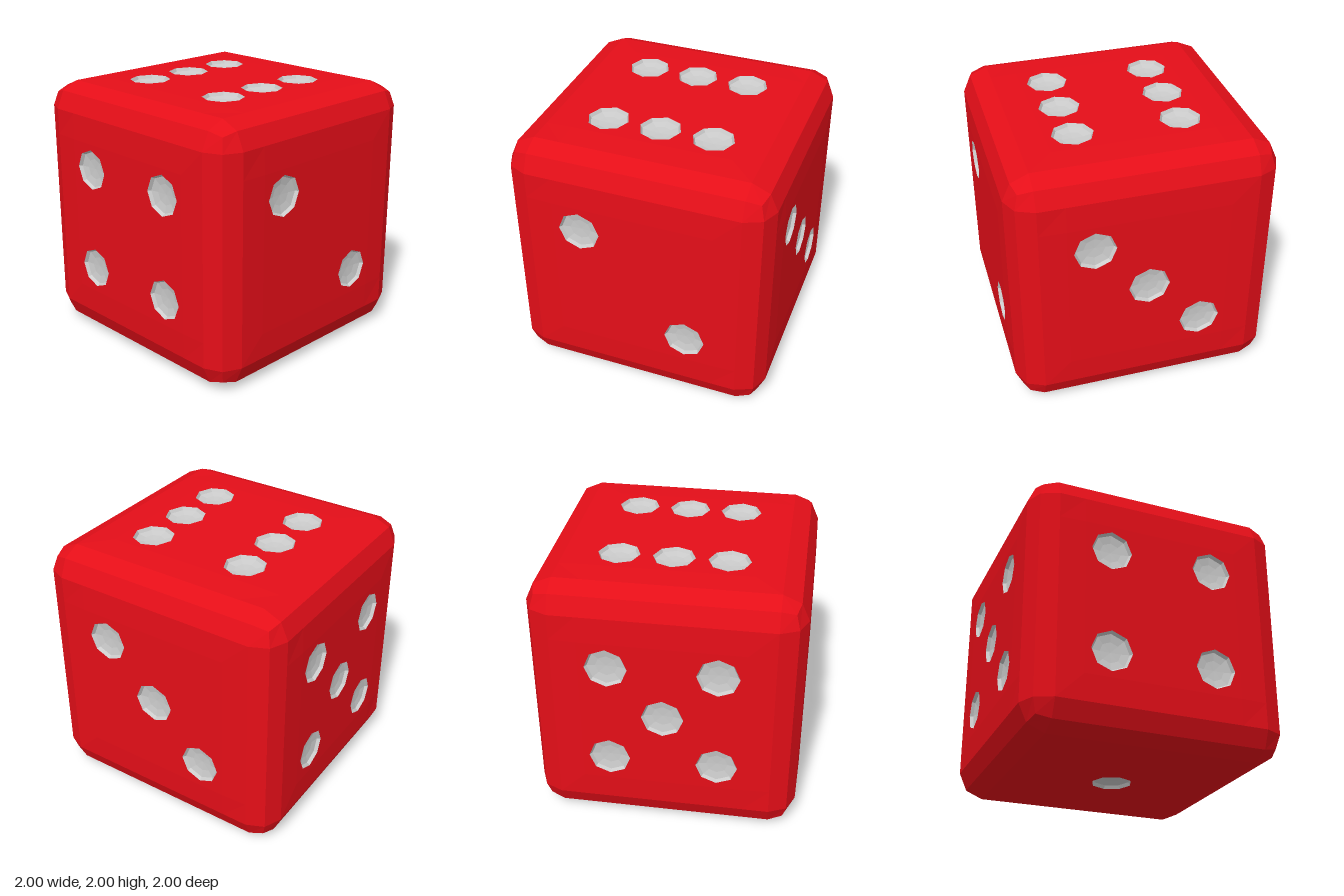
import * as THREE from 'three';
import { mergeGeometries } from 'three/addons/utils/BufferGeometryUtils.js';

const PIP_R = 0.155, FLAT = 0.6;

// One side facing +z: a flat panel with octagonal holes, framed by the rounded border
function sideGeometry(pips) {
  const border = new THREE.PlaneGeometry(2, 2, 5, 5);
  const steps = [-1, -0.8, -FLAT, FLAT, 0.8, 1];
  const pos = border.attributes.position;
  for (let i = 0; i < pos.count; i++) {
    const x = steps[i % 6], y = -steps[Math.floor(i / 6)];
    const ex = Math.abs(x) === 1, ey = Math.abs(y) === 1;
    const rim = ex && ey ? 0.905 : 0.933;
    const bulge = Math.max(Math.abs(x), Math.abs(y)) > FLAT ? 0.992 : 1;
    pos.setXYZ(i, ex ? x * rim : x, ey ? y * rim : y, ex || ey ? rim : bulge);
  }
  // Leave out the middle cell, which the pierced panel fills
  const index = Array.from(border.index.array);
  index.splice(12 * 6, 6);
  border.setIndex(index);

  const panel = new THREE.Shape([[-1, -1], [1, -1], [1, 1], [-1, 1]]
    .map(([x, y]) => new THREE.Vector2(x * FLAT, y * FLAT)));
  for (const [x, y] of pips) {
    const ring = [];
    for (let k = 0; k < 8; k++) {
      const a = k * Math.PI / 4;
      ring.push(new THREE.Vector2(x + PIP_R * Math.cos(a), y + PIP_R * Math.sin(a)));
    }
    panel.holes.push(new THREE.Path(ring));
  }
  return mergeGeometries([border, new THREE.ShapeGeometry(panel).translate(0, 0, 1)]);
}

// Shallow eight-sided dish, open towards +z
function pipGeometry() {
  const profile = [[PIP_R, 0], [0.14, -0.025], [0.08, -0.036], [0, -0.04]];
  return new THREE.LatheGeometry(profile.map(([r, h]) => new THREE.Vector2(r, h)), 8)
    .rotateX(Math.PI / 2);
}

export function createModel() {
  const model = new THREE.Group();
  model.name = 'die';
  const red = new THREE.MeshStandardMaterial({ color: 0xe50e18, flatShading: true });
  const grey = new THREE.MeshStandardMaterial({ color: 0xcccccc, flatShading: true });
  const dish = pipGeometry();

  const d = 0.4, q = Math.PI / 2;
  const two = [[-d, d], [d, -d]];
  const four = [...two, [d, d], [-d, -d]];
  const sides = [
    ['front', 0, 0, four],
    ['back', 0, Math.PI, [...two, [0, 0]]],
    ['right', 0, q, two],
    ['left', 0, -q, [...four, [0, 0]]],
    ['top', -q, 0, [...four, [-d, 0], [d, 0]]],
    ['bottom', q, 0, [[0, 0]]],
  ];

  for (const [name, rx, ry, pips] of sides) {
    const side = new THREE.Group();
    side.name = name + 'Side';
    side.rotation.set(rx, ry, 0);
    side.position.y = 1;
    const shell = new THREE.Mesh(sideGeometry(pips), red);
    shell.name = name + 'Shell';
    side.add(shell);
    pips.forEach(([x, y], i) => {
      const pip = new THREE.Mesh(dish, grey);
      pip.name = name + 'Pip' + (i + 1);
      pip.position.set(x, y, 1);
      side.add(pip);
    });
    model.add(side);
  }
  return model;
}
